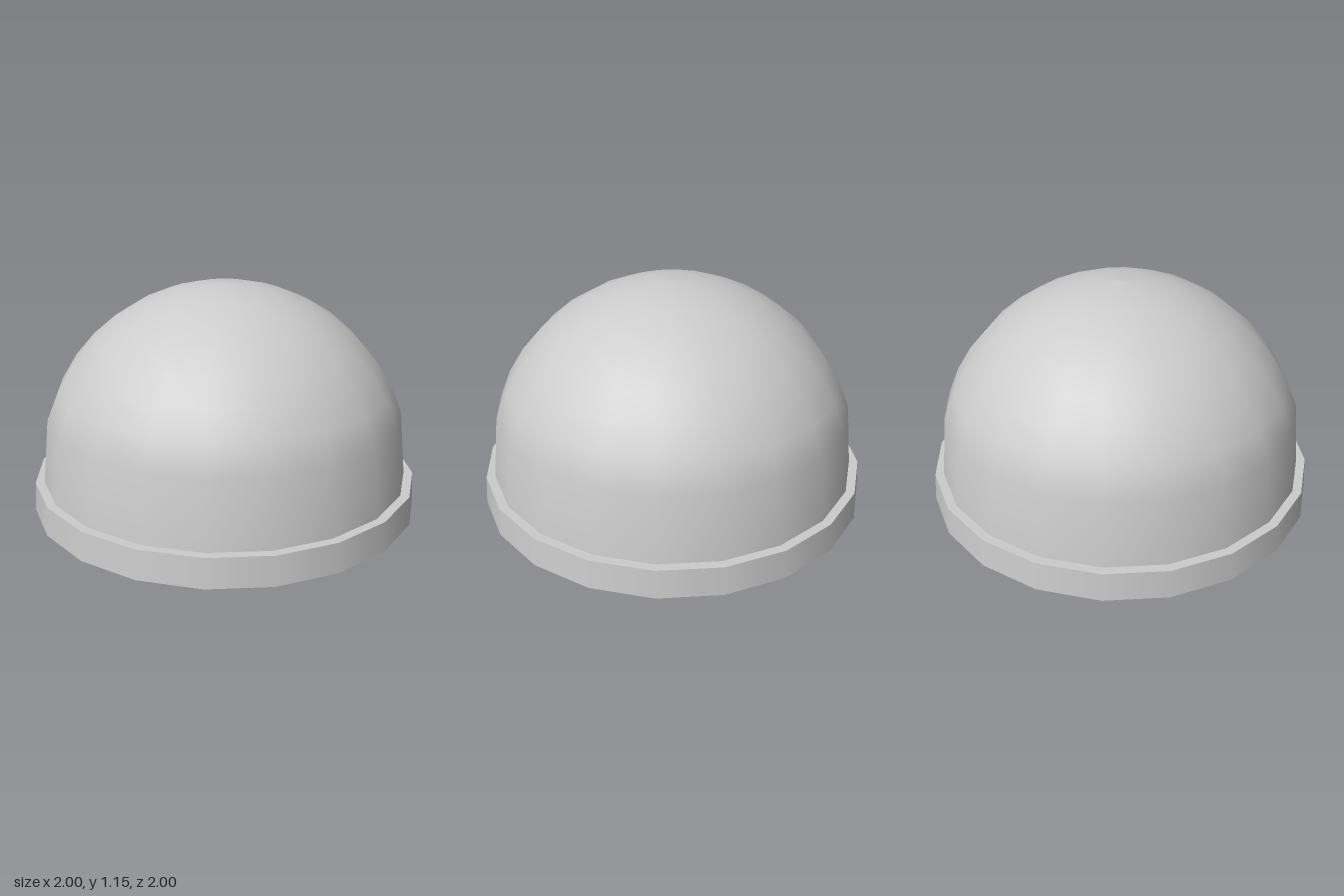
import * as THREE from 'three';

const SIDES = 20;
const CENTER_Y = 0.193;
const material = new THREE.MeshStandardMaterial({ color: 0xcccccc });

// Profile of a spherical cap, from its lower ring (72 degrees from the top) up to the apex
function capProfile(radius, steps = 8) {
  const points = [];
  for (let i = steps; i >= 0; i--) {
    const a = (i / steps) * Math.PI * 0.4;
    points.push([radius * Math.sin(a), CENTER_Y + radius * Math.cos(a)]);
  }
  return points;
}

// Turn a profile around y; upward profiles face outward, downward ones inward
function turned(name, profile) {
  const points = profile.map(([r, y]) => new THREE.Vector2(r, y));
  const mesh = new THREE.Mesh(new THREE.LatheGeometry(points, SIDES), material);
  mesh.name = name;
  return mesh;
}

export function createModel() {
  const group = new THREE.Group();
  group.name = 'dome';

  // Hollow dome: slightly flared skirt below a spherical cap
  group.add(turned('domeOuter', [[0.945, 0.155], ...capProfile(0.957)]));
  group.add(turned('domeInner', [...capProfile(0.88).reverse(), [0.87, 0]]));

  // Base rim, one strip per face so its edges stay sharp
  group.add(turned('rimUnderside', [[0.87, 0], [1, 0.008]]));
  group.add(turned('rimWall', [[1, 0.008], [0.99, 0.155]]));
  group.add(turned('rimLedge', [[0.99, 0.155], [0.945, 0.155]]));

  return group;
}
